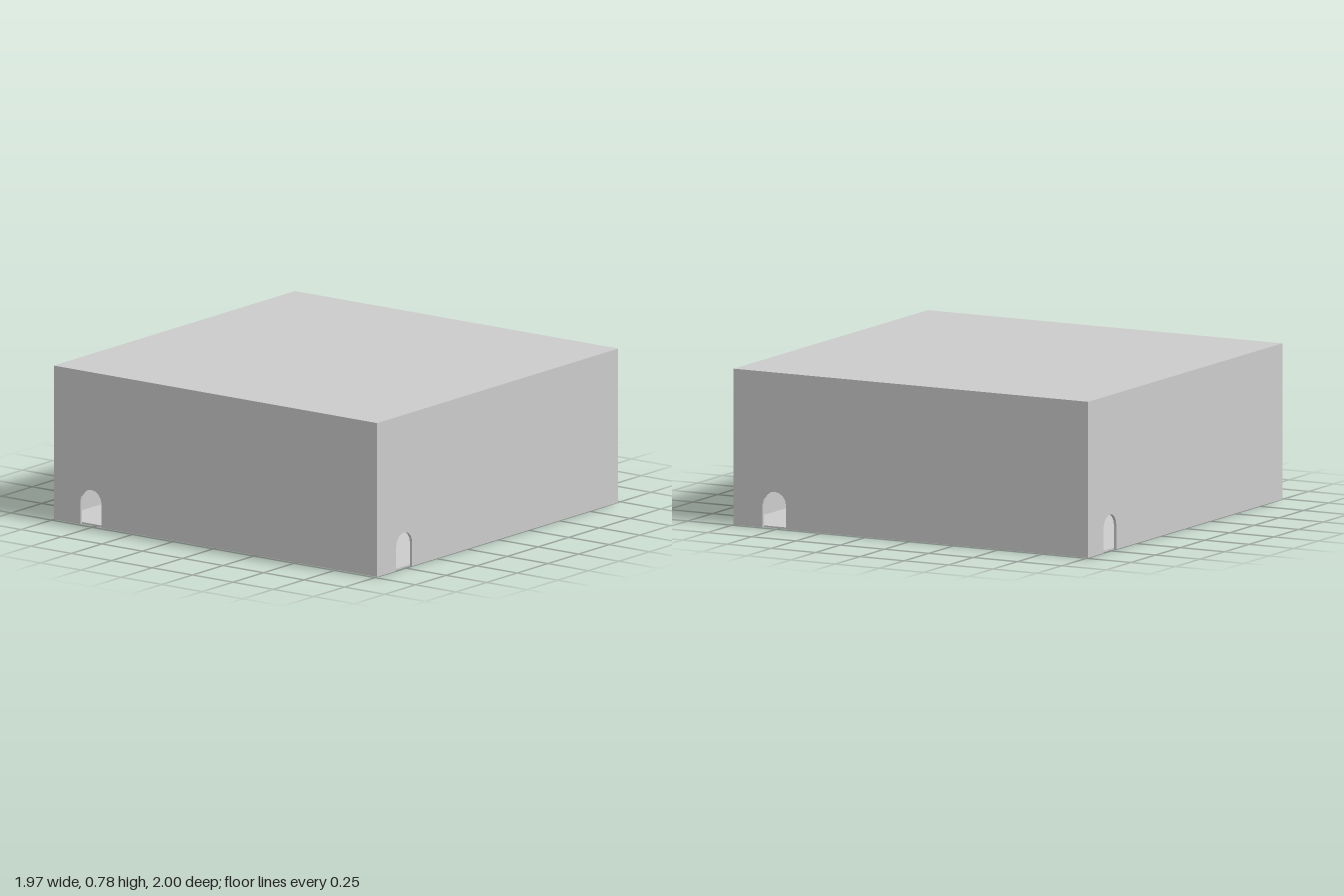
import * as THREE from 'three';

const HALF_X = 0.983, HALF_Z = 1, HEIGHT = 0.78;
const WALL = 0.014, FLOOR = 0.008;
const DOOR_RADIUS = 0.066, DOOR_SPRING = 0.118;

// Wall panel with an arched doorway notched into its lower edge
function wallGeometry(width, doorX) {
  const w = width / 2, top = HEIGHT - WALL;
  const s = new THREE.Shape();
  s.moveTo(-w, 0);
  s.lineTo(doorX - DOOR_RADIUS, 0);
  s.lineTo(doorX - DOOR_RADIUS, DOOR_SPRING);
  s.absarc(doorX, DOOR_SPRING, DOOR_RADIUS, Math.PI, 0, true);
  s.lineTo(doorX + DOOR_RADIUS, 0);
  s.lineTo(w, 0);
  s.lineTo(w, top);
  s.lineTo(-w, top);
  s.closePath();
  return new THREE.ExtrudeGeometry(s, { depth: WALL, bevelEnabled: false, curveSegments: 4 });
}

export function createModel() {
  const group = new THREE.Group();
  const material = new THREE.MeshStandardMaterial({ color: 0xcccccc, flatShading: true });
  const add = (name, geometry) => {
    const mesh = new THREE.Mesh(geometry, material);
    mesh.name = name;
    group.add(mesh);
    return mesh;
  };

  // Four walls, each a quarter turn on from the last
  ['frontWall', 'leftWall', 'backWall', 'rightWall'].forEach((name, i) => {
    const side = i % 2 === 1;
    const width = side ? 2 * (HALF_Z - WALL) : 2 * HALF_X;
    const geometry = wallGeometry(width, side ? -0.77 : -0.763);
    geometry.translate(0, 0, (side ? HALF_X : HALF_Z) - WALL);
    add(name, geometry).rotation.y = i * Math.PI / 2;
  });

  // Flat roof slab
  const roof = add('roof', new THREE.BoxGeometry(2 * HALF_X, WALL, 2 * HALF_Z));
  roof.position.y = HEIGHT - WALL / 2;

  // Floor slab with a round hole in the middle
  const x = HALF_X - WALL, z = HALF_Z - WALL;
  const plan = new THREE.Shape([[-x, -z], [x, -z], [x, z], [-x, z]].map(p => new THREE.Vector2(...p)));
  plan.holes.push(new THREE.Path().absarc(0, 0, 0.127, 0, Math.PI * 2, true));
  const floor = new THREE.ExtrudeGeometry(plan, { depth: FLOOR, bevelEnabled: false, curveSegments: 16 });
  add('floor', floor.rotateX(-Math.PI / 2));

  return group;
}
